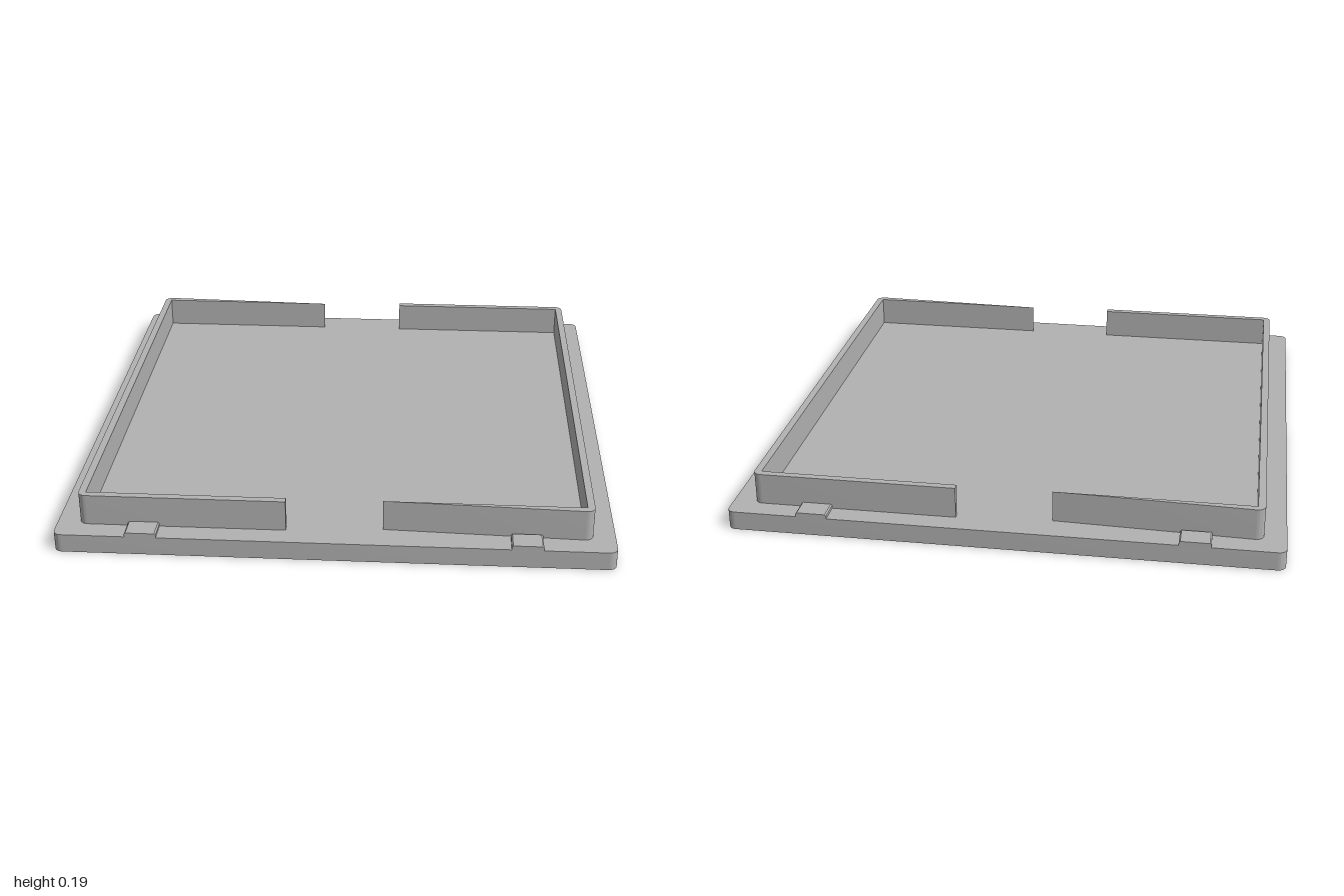
import * as THREE from 'three';
import { toCreasedNormals } from 'three/addons/utils/BufferGeometryUtils.js';

const BASE_H = 0.07, RIM_TOP = 0.187, TAB_TOP = 0.086;

// Extrude a plan outline upwards from y0 to y1
function slab(shape, y0, y1) {
  const g = new THREE.ExtrudeGeometry(shape, { depth: y1 - y0, bevelEnabled: false, curveSegments: 8 });
  g.rotateX(-Math.PI / 2).translate(0, y0, 0);
  return toCreasedNormals(g, 0.5);
}

// Square plan with rounded corners
function roundedSquare(h, r) {
  const s = new THREE.Shape();
  const c = h - r;
  s.absarc(c, c, r, 0, Math.PI / 2);
  s.absarc(-c, c, r, Math.PI / 2, Math.PI);
  s.absarc(-c, -c, r, Math.PI, Math.PI * 1.5);
  s.absarc(c, -c, r, Math.PI * 1.5, Math.PI * 2);
  s.closePath();
  return s;
}

// C-shaped wall plan, open towards the middle: rounded outside, sharp inside
function rimShape() {
  const out = 0.92, inn = 0.893, end = 0.173, r = 0.03;
  const s = new THREE.Shape();
  s.moveTo(end, -out);
  s.absarc(out - r, -out + r, r, -Math.PI / 2, 0);
  s.absarc(out - r, out - r, r, 0, Math.PI / 2);
  s.lineTo(end, out);
  s.lineTo(end, inn);
  s.lineTo(inn, inn);
  s.lineTo(inn, -inn);
  s.lineTo(end, -inn);
  s.closePath();
  return s;
}

// Low tab profile with slightly chamfered top edges, running from the rim to the base edge
function tabGeometry() {
  const w = 0.0565, h = TAB_TOP - BASE_H, c = 0.005;
  const s = new THREE.Shape([[-w, 0], [w, 0], [w, h - c], [w - c, h], [-w + c, h], [-w, h - c]]
    .map(([x, y]) => new THREE.Vector2(x, y)));
  return new THREE.ExtrudeGeometry(s, { depth: 0.08, bevelEnabled: false });
}

export function createModel() {
  const model = new THREE.Group();
  model.name = 'lid';
  const grey = new THREE.MeshStandardMaterial({ color: 0xb2b2b2 });
  grey.name = 'grey plastic';

  const add = (name, geometry) => {
    const mesh = new THREE.Mesh(geometry, grey);
    mesh.name = name;
    model.add(mesh);
    return mesh;
  };

  add('basePlate', slab(roundedSquare(1, 0.03), 0, BASE_H));

  const rim = slab(rimShape(), BASE_H, RIM_TOP);
  add('leftRim', rim);
  add('rightRim', rim).rotation.y = Math.PI;

  const tab = tabGeometry();
  for (const side of [1, -1]) {
    const x = side * 0.685, label = side > 0 ? 'Left' : 'Right';
    add('front' + label + 'Tab', tab).position.set(x, BASE_H, 0.92);
    add('back' + label + 'Tab', tab).position.set(x, BASE_H, -1);
  }
  return model;
}
